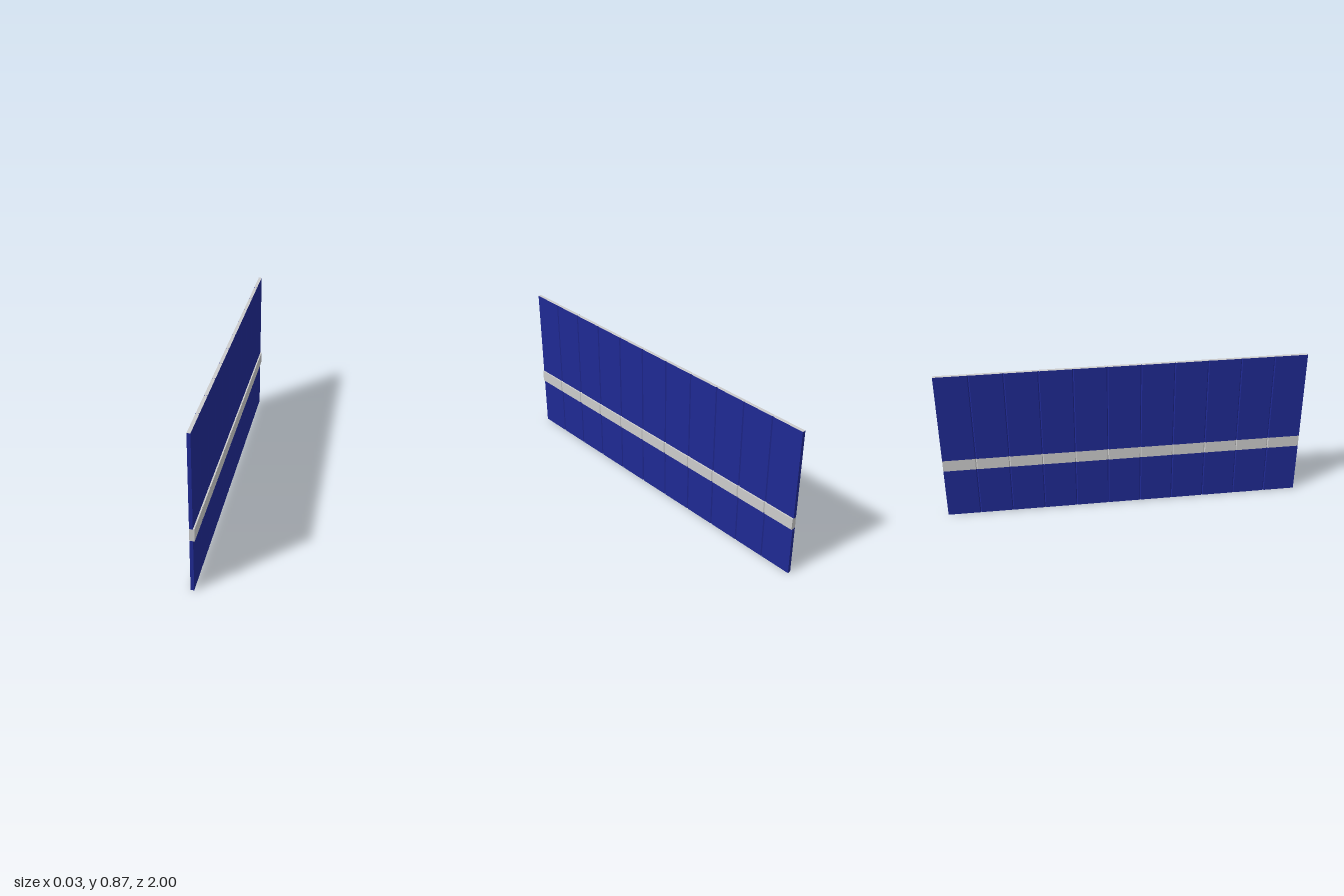
import * as THREE from 'three';

const COUNT = 11;
const PITCH = 2 / COUNT;
const BACK = -0.013;

export function createModel() {
  const wall = new THREE.Group();
  wall.name = 'plankWall';
  const grey = new THREE.MeshStandardMaterial({ color: 0xcccccc, flatShading: true });
  const blue = new THREE.MeshStandardMaterial({ color: 0x1f2993, flatShading: true });

  // Upright block with small chamfers that form the grooves between neighbours
  function blockGeometry(front, height, first, last) {
    const c = 0.005, h = PITCH / 2;
    const near = last ? 0 : c, far = first ? 0 : c;
    const shape = new THREE.Shape();
    // shape y becomes -z once the block is stood upright
    shape.moveTo(BACK + near, -h);
    shape.lineTo(front - near, -h);
    if (near) shape.lineTo(front, -h + near);
    shape.lineTo(front, h - far);
    if (far) shape.lineTo(front - far, h);
    shape.lineTo(BACK + far, h);
    if (far) shape.lineTo(BACK, h - far);
    shape.lineTo(BACK, -h + near);
    return new THREE.ExtrudeGeometry(shape, { depth: height, bevelEnabled: false })
      .rotateX(-Math.PI / 2);
  }

  // Bands from bottom to top: planks, protruding rail, planks
  const bands = [
    { name: 'lowerPlank', y0: 0, y1: 0.29, front: 0.005, side: blue },
    { name: 'railSegment', y0: 0.29, y1: 0.357, front: 0.013, side: grey },
    { name: 'upperPlank', y0: 0.357, y1: 0.867, front: 0.005, side: blue },
  ];

  for (let i = 0; i < COUNT; i++) {
    const column = new THREE.Group();
    column.name = 'wallSection' + (i + 1);
    column.position.z = -1 + PITCH * (i + 0.5);
    for (const { name, y0, y1, front, side } of bands) {
      const geometry = blockGeometry(front, y1 - y0, i === 0, i === COUNT - 1);
      const mesh = new THREE.Mesh(geometry, [grey, side]); // grey cut ends
      mesh.name = name;
      mesh.position.y = y0;
      column.add(mesh);
    }
    wall.add(column);
  }
  return wall;
}
